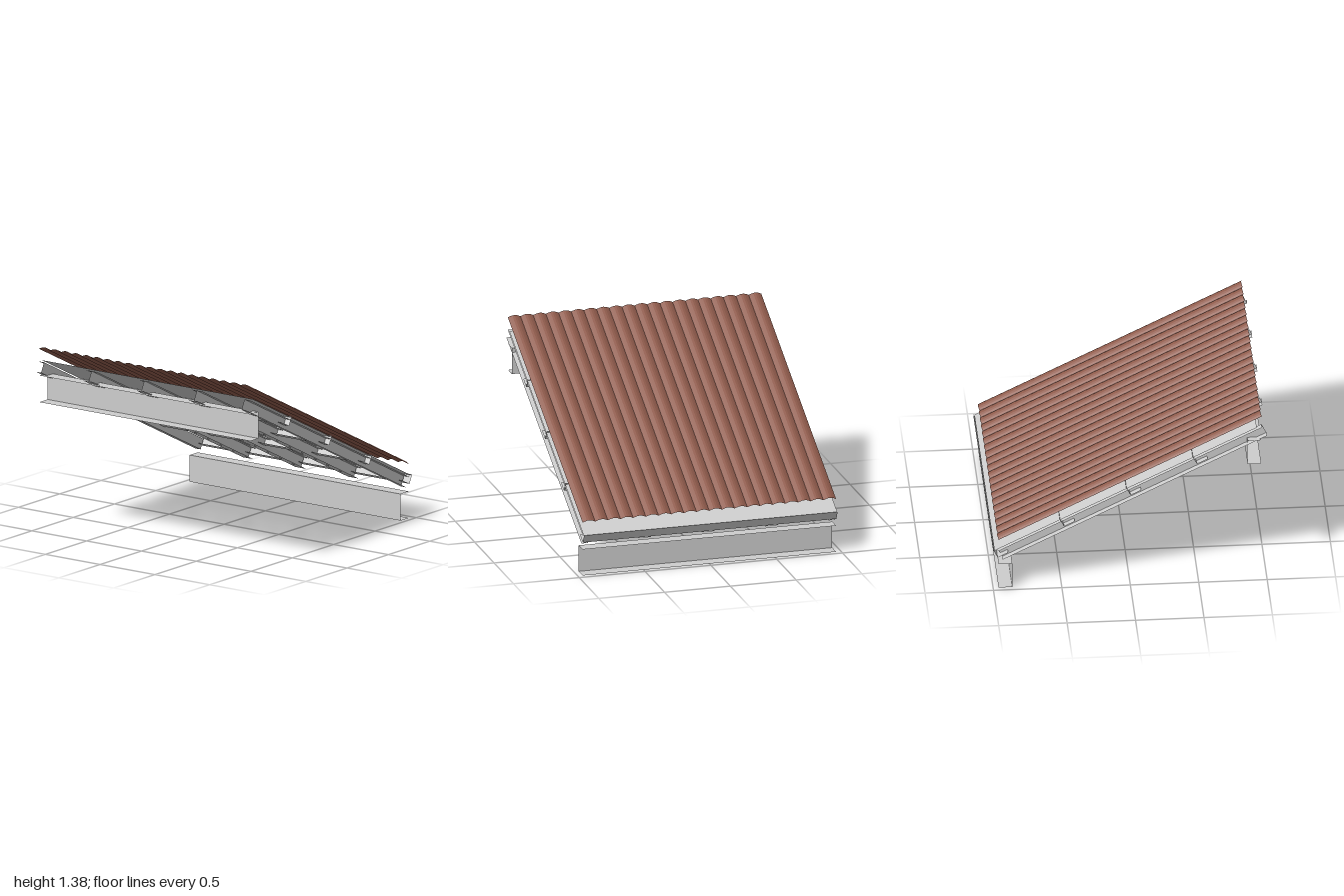
import * as THREE from 'three';

const HALF = 0.963;            // half width of the roof
const SLOPE = Math.atan(0.5);  // pitch, rising toward the front

// Folded sheet: an open [a, b] profile swept along x (a = y, b = z) or along z (a = x, b = y)
function foldedSheet(profile, from, to, axis) {
  const pos = [];
  const at = ([a, b], t) => (axis === 'x' ? [t, a, b] : [a, b, t]);
  for (let i = 0; i < profile.length - 1; i++) {
    const p = at(profile[i], from), q = at(profile[i + 1], from);
    const r = at(profile[i + 1], to), s = at(profile[i], to);
    pos.push(...p, ...q, ...r, ...p, ...r, ...s);
  }
  const geo = new THREE.BufferGeometry();
  geo.setAttribute('position', new THREE.Float32BufferAttribute(pos, 3));
  geo.computeVertexNormals();
  return geo;
}

export function createModel() {
  const steel = new THREE.MeshStandardMaterial({ color: 0xcdcdcd, side: THREE.DoubleSide });
  steel.name = 'galvanised steel';
  const brown = new THREE.MeshStandardMaterial({ color: 0x8f5b4c, side: THREE.DoubleSide });
  brown.name = 'red brown roofing';

  const model = new THREE.Group();
  model.name = 'pitchedRoof';
  const add = (parent, name, geo, mat) => {
    const mesh = new THREE.Mesh(geo, mat);
    mesh.name = name;
    parent.add(mesh);
  };

  // Level support channels, both opening outward
  const beam = (name, y, side) => add(model, name, foldedSheet(
    [[y, side * 0.96], [y, side * 0.86], [y + 0.2, side * 0.86], [y + 0.2, side * 0.96]],
    -HALF, HALF, 'x'), steel);
  beam('frontBeam', 0.965, 1);
  beam('backBeam', 0, -1);

  // Everything else lies in the pitched plane: local y = 0 is the top of the rafters
  const slope = new THREE.Group();
  slope.name = 'slopedFrame';
  slope.position.y = 0.79;
  slope.rotation.x = -SLOPE;
  model.add(slope);

  // Rafters: single channels at the ends, back-to-back pairs between
  const rafter = (x, dir) => add(slope, 'rafter', foldedSheet(
    [[x + dir * 0.048, -0.08], [x, -0.08], [x, 0], [x + dir * 0.048, 0]],
    -1.079, 1.079, 'z'), steel);
  for (const x of [-0.481, 0, 0.481]) {
    for (const dir of [-1, 1]) rafter(x + dir * 0.0008, dir);
  }
  rafter(-0.915, -1);
  rafter(0.915, 1);

  // Cross purlins with a lower flange turned up the slope
  for (let i = 0; i < 4; i++) {
    const z = -1.104 + i * 0.543;
    add(slope, 'purlin', foldedSheet(
      [[0.026, z], [-0.046, z], [-0.046, z + 0.086]], -HALF, HALF, 'x'), steel);
  }

  // Flat deck under the roofing
  add(slope, 'deck', foldedSheet([[0.018, -1.098], [0.018, 1.045]], -HALF, HALF, 'x'), steel);

  // Corrugated roofing: rounded ribs meeting in sharp valleys
  const ribs = 20, steps = 6, profile = [];
  for (let i = 0; i <= ribs * steps; i++) {
    const t = i / steps;
    profile.push([-HALF + 2 * HALF * t / ribs, 0.085 + 0.018 * Math.abs(Math.sin(Math.PI * t))]);
  }
  add(slope, 'corrugatedRoofing', foldedSheet(profile, -1.03, 1.12, 'z'), brown);

  return model;
}
